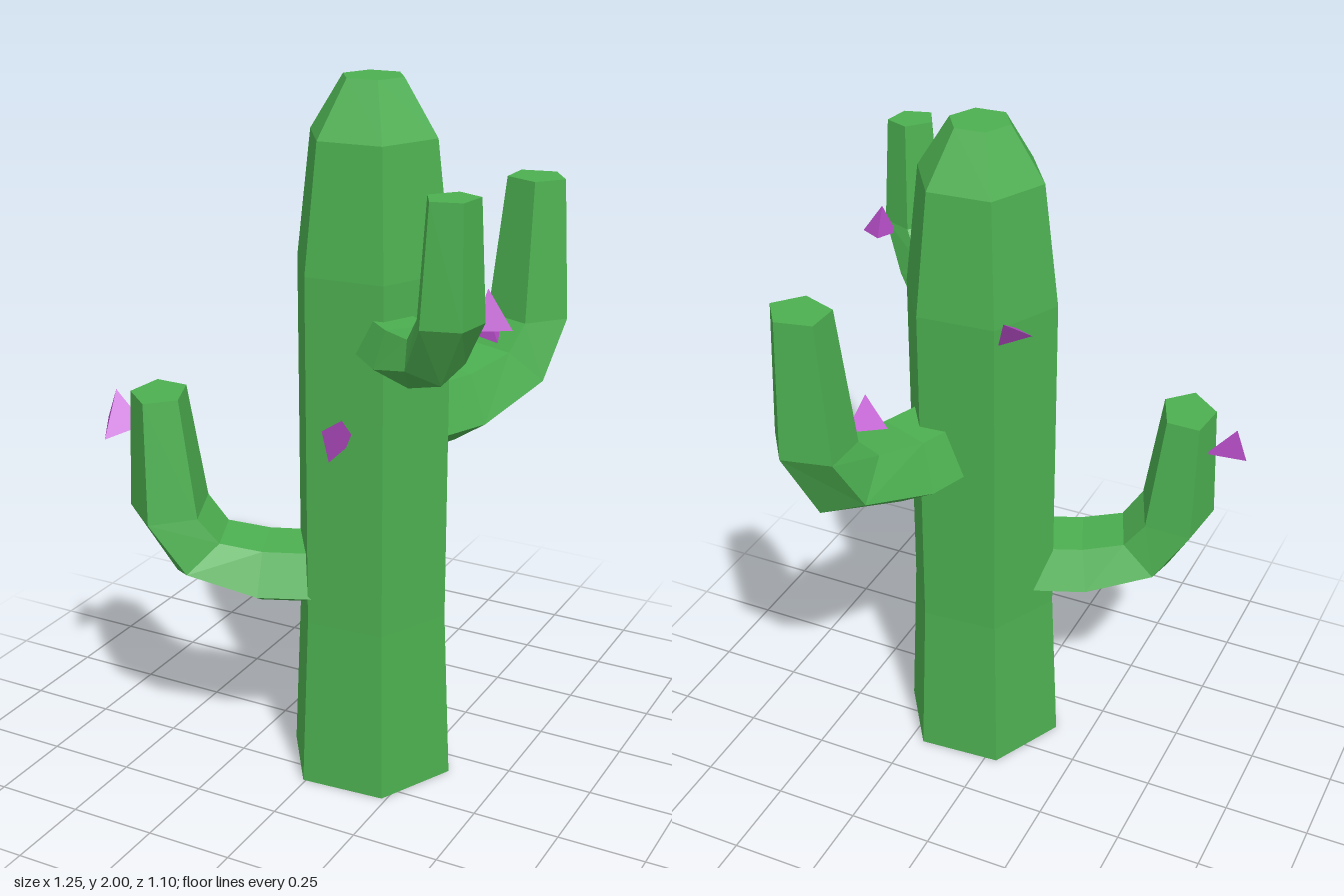
import * as THREE from 'three';
import { ConvexGeometry } from 'three/addons/geometries/ConvexGeometry.js';

const green = new THREE.MeshStandardMaterial({ color: 0x4caf50, flatShading: true });
const purple = new THREE.MeshStandardMaterial({ color: 0xba4fcb, flatShading: true });
const CENTRE = 0.1; // trunk axis in x and z
const SIDES = 5;

// Five-sided bent tube. Each ring: [distance from trunk axis, height, tilt in degrees, radius].
function armGeometry(dx, dz, shift, width, rings) {
  const pos = [];
  const point = ([t, y, tilt, r], j) => {
    const a = (2 * Math.PI * j) / SIDES;
    const th = THREE.MathUtils.degToRad(tilt);
    const out = r * Math.cos(a);
    const s = shift + (j < 0 ? 0 : r * width * Math.sin(a));
    const d = t + (j < 0 ? 0 : out * Math.sin(th));
    const h = y - (j < 0 ? 0 : out * Math.cos(th));
    return [CENTRE + dx * d - dz * s, h, CENTRE + dz * d + dx * s];
  };
  const first = rings[0];
  const last = rings[rings.length - 1];
  for (let j = 0; j < SIDES; j++) {
    for (let k = 0; k + 1 < rings.length; k++) {
      const a = point(rings[k], j);
      const b = point(rings[k + 1], j);
      const c = point(rings[k + 1], j + 1);
      const d = point(rings[k], j + 1);
      pos.push(...a, ...b, ...c, ...a, ...c, ...d);
    }
    // end caps (index -1 is the ring centre)
    pos.push(...point(last, -1), ...point(last, j + 1), ...point(last, j));
    pos.push(...point(first, -1), ...point(first, j), ...point(first, j + 1));
  }
  const g = new THREE.BufferGeometry();
  g.setAttribute('position', new THREE.Float32BufferAttribute(pos, 3));
  g.computeVertexNormals();
  return g;
}

export function createModel() {
  const model = new THREE.Group();
  model.name = 'cactus';
  const add = (name, geometry, material) => {
    const mesh = new THREE.Mesh(geometry, material);
    mesh.name = name;
    model.add(mesh);
    return mesh;
  };

  // Six-sided trunk, tapering to a small flat top
  const profile = [[0, 0], [0.245, 0], [0.223, 0.5], [0.223, 1.5], [0.181, 1.85], [0.086, 2], [0, 2]]
    .map(([r, y]) => new THREE.Vector2(r, y));
  const turn = THREE.MathUtils.degToRad(94);
  add('trunk', new THREE.LatheGeometry(profile, 6, turn), green)
    .position.set(CENTRE, 0, CENTRE);

  // Three arms that reach out and bend upward
  add('rightArm', armGeometry(-0.924, 0.383, -0.015, 1.38, [
    [0.08, 0.605, 0, 0.103], [0.306, 0.605, 5, 0.105], [0.481, 0.654, 48, 0.103],
    [0.57, 0.785, 90, 0.114], [0.59, 1.125, 90, 0.08],
  ]), green);
  add('leftArm', armGeometry(0.75, 0.66, 0.02, 1.13, [
    [0.15, 1.335, 0, 0.085], [0.29, 1.335, 5, 0.088], [0.45, 1.373, 45, 0.076],
    [0.54, 1.49, 90, 0.081], [0.55, 1.8, 90, 0.063],
  ]), green);
  add('backArm', armGeometry(0.357, -0.934, 0.029, 1.1, [
    [0.125, 1.057, 0, 0.122], [0.28, 1.055, 5, 0.124], [0.495, 1.115, 45, 0.119],
    [0.585, 1.255, 90, 0.114], [0.602, 1.655, 90, 0.082],
  ]), green);

  // Small three-sided blossoms on the trunk and arms
  const blossoms = {
    frontBlossom: [[0.05, 1.08, 0.3], [0.135, 1.14, 0.345], [0.09, 1.01, 0.335], [0.135, 1.06, 0.27]],
    backBlossom: [[-0.12, 1.49, -0.05], [-0.07, 1.55, -0.125], [-0.03, 1.45, -0.07], [-0.055, 1.48, -0.01]],
    rightArmBlossom: [[-0.625, 1.015, 0.325], [-0.59, 1.105, 0.33], [-0.575, 0.985, 0.417], [-0.505, 1.01, 0.32]],
    leftArmBlossom: [[0.62, 1.465, 0.377], [0.54, 1.48, 0.317], [0.55, 1.56, 0.37], [0.53, 1.46, 0.415]],
    backArmBlossom: [[0.213, 1.23, -0.253], [0.32, 1.21, -0.25], [0.28, 1.32, -0.25], [0.29, 1.25, -0.345]],
  };
  for (const [name, corners] of Object.entries(blossoms)) {
    add(name, new ConvexGeometry(corners.map((c) => new THREE.Vector3(...c))), purple);
  }
  return model;
}
